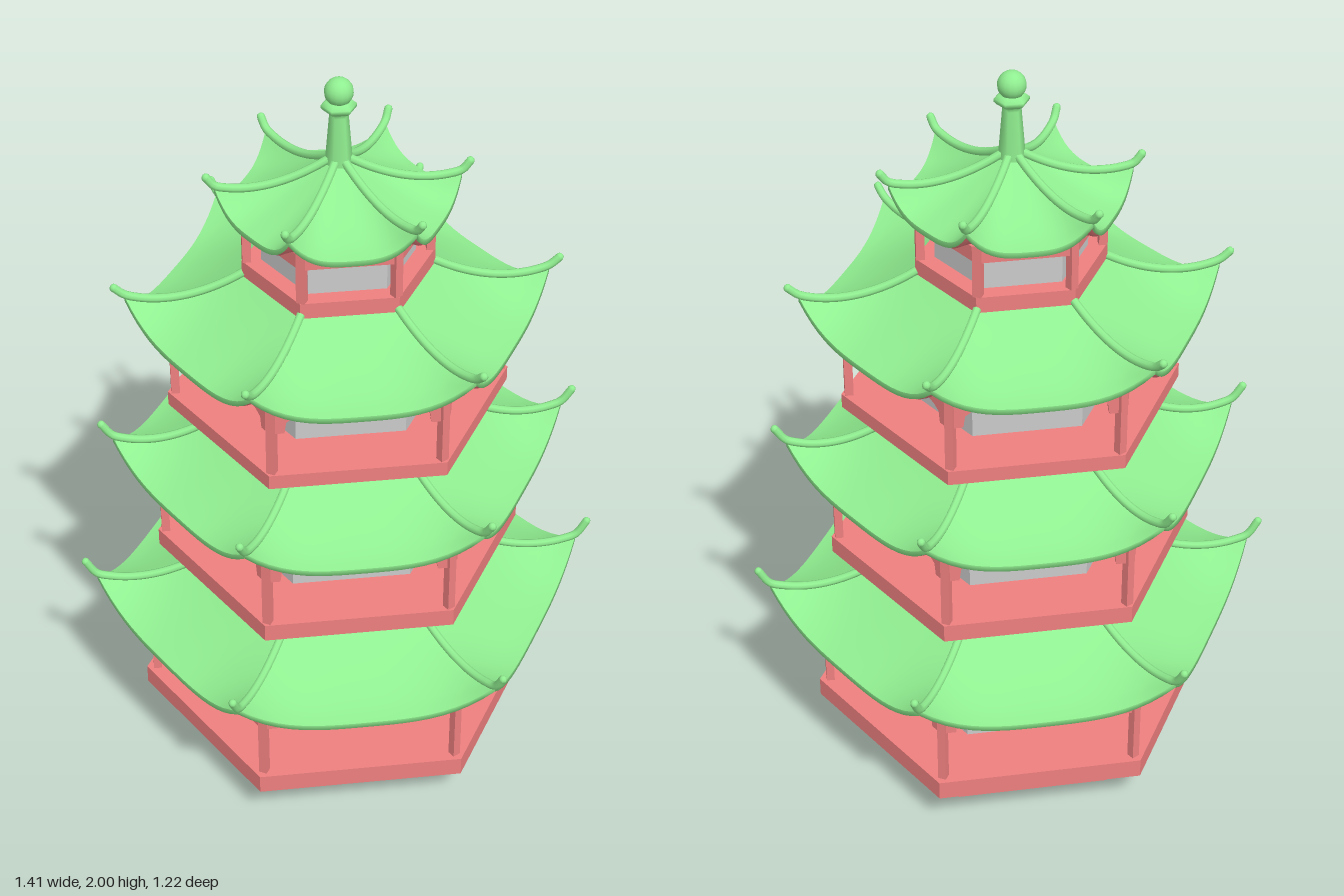
import * as THREE from 'three';
import { mergeGeometries } from 'three/addons/utils/BufferGeometryUtils.js';

const green = new THREE.MeshStandardMaterial({ color: 0x90ee90, side: THREE.DoubleSide });
const red = new THREE.MeshStandardMaterial({ color: 0xf08080, side: THREE.DoubleSide });
const redFlat = new THREE.MeshStandardMaterial({ color: 0xf08080, side: THREE.DoubleSide, flatShading: true });
const grey = new THREE.MeshStandardMaterial({ color: 0xcccccc, side: THREE.DoubleSide, flatShading: true });

const SIDE = Math.PI / 3;

function add(parent, name, geometry, material) {
  const mesh = new THREE.Mesh(geometry, material);
  mesh.name = name;
  parent.add(mesh);
  return mesh;
}

// Open hexagonal wall with corners on the x axis
function hexWall(r, y0, y1) {
  return new THREE.CylinderGeometry(r, r, y1 - y0, 6, 1, true)
    .rotateY(Math.PI / 6).translate(0, (y0 + y1) / 2, 0);
}

// Hexagonal plate with a hexagonal hole
function hexPlate(r, hole, y0, y1) {
  const ring = (q) => Array.from({ length: 6 }, (_, i) =>
    new THREE.Vector2(q * Math.cos(i * SIDE), q * Math.sin(i * SIDE)));
  const shape = new THREE.Shape(ring(r));
  shape.holes.push(new THREE.Path(ring(hole).reverse()));
  return new THREE.ExtrudeGeometry(shape, { depth: y1 - y0, bevelEnabled: false })
    .rotateX(-Math.PI / 2).translate(0, y0, 0);
}

// Six-sided sheet through rows { r, y, lift }; lift raises the corners
function hexSheet(rows) {
  const N = 20, parts = [];
  for (let k = 0; k < 6; k++) {
    const pos = [], idx = [];
    const a = k * SIDE, b = a + SIDE;
    rows.forEach(({ r, y, lift }, j) => {
      for (let i = 0; i <= N; i++) {
        const f = i / N, t = Math.abs(2 * f - 1);
        pos.push(r * ((1 - f) * Math.cos(a) + f * Math.cos(b)),
          y + lift * t ** 3.2,
          r * ((1 - f) * Math.sin(a) + f * Math.sin(b)));
        if (j && i) {
          const q = j * (N + 1) + i, p = q - N - 1;
          idx.push(p - 1, p, q - 1, p, q, q - 1);
        }
      }
    });
    const g = new THREE.BufferGeometry();
    g.setAttribute('position', new THREE.Float32BufferAttribute(pos, 3));
    g.setIndex(idx);
    g.computeVertexNormals();
    parts.push(g);
  }
  return mergeGeometries(parts);
}

// Curved roof: tiles, eave edge, underside and six hip ridges
function makeRoof({ rIn, rOut, yTop, eave, lift, wall, tip }) {
  const roof = new THREE.Group();
  roof.name = 'roof';
  const M = 10, edge = eave + 0.018;
  const height = (s) => edge + (yTop - edge) * (1 - s) ** 1.4;
  const rows = Array.from({ length: M + 1 }, (_, j) => {
    const s = j / M;
    return { r: rIn + (rOut - rIn) * s, y: height(s), lift: lift * s * s };
  });
  add(roof, 'roofTiles', hexSheet(rows), green);
  add(roof, 'eaveEdge', hexSheet([
    { r: rOut, y: edge, lift }, { r: rOut, y: eave + 0.003, lift },
    { r: rOut - 0.012, y: eave + 0.003, lift }]), green);

  const under = [{ r: rOut - 0.01, y: eave + 0.004, lift }];
  for (let j = 8; j >= 0; j--) {
    const s = j / 8;
    under.push({
      r: wall + (rOut - 0.018 - wall) * s,
      y: eave - 0.006 + 0.02 * (1 - s), lift: lift * 0.96 * s * s,
    });
  }
  add(roof, 'roofUnderside', hexSheet(under), red);

  const path = [];
  for (let j = 0; j <= 8; j++) {
    const s = j / 8;
    path.push(new THREE.Vector3(rIn + (rOut - rIn) * s, height(s) + lift * s * s + 0.006, 0));
  }
  path.push(new THREE.Vector3(tip[0], tip[1], 0));
  const ridge = new THREE.TubeGeometry(new THREE.CatmullRomCurve3(path), 28, 0.011, 8);
  const knob = new THREE.SphereGeometry(0.011, 8, 6);
  for (let k = 0; k < 6; k++) {
    const hip = new THREE.Group();
    hip.name = 'hipRidge';
    add(hip, 'ridgeRoll', ridge, green);
    add(hip, 'ridgeTip', knob, green).position.set(tip[0], tip[1], 0);
    hip.rotation.y = k * SIDE;
    roof.add(hip);
  }
  return roof;
}

// Stepped bracket that reaches along +x from a column
function bracketGeometry(size) {
  const pts = [[0, 0], [0.125, 0], [0.125, -0.018], [0.06, -0.04], [0.04, -0.055], [0.035, -0.09], [0, -0.09]];
  const shape = new THREE.Shape(pts.map(([x, y]) => new THREE.Vector2(x * size, y * size)));
  return new THREE.ExtrudeGeometry(shape, { depth: 0.014, bevelEnabled: false }).translate(0, 0, -0.007);
}

function makeColumns(r, y0, y1, bracketSize) {
  const columns = new THREE.Group();
  columns.name = 'columns';
  const post = new THREE.BoxGeometry(0.022, y1 - y0, 0.022);
  for (let k = 0; k < 6; k++) {
    const a = k * SIDE, x = r * Math.cos(a), z = r * Math.sin(a);
    const column = add(columns, 'column', post, redFlat);
    column.position.set(x, (y0 + y1) / 2, z);
    column.rotation.y = -a;
    if (!bracketSize) continue;
    for (const side of [-1, 1]) {
      const bracket = add(columns, 'bracket', bracketGeometry(bracketSize), redFlat);
      bracket.position.set(x, y1 - 0.015, z);
      bracket.rotation.y = -(a + side * 2 * SIDE);
    }
  }
  return columns;
}

export function createModel() {
  const model = new THREE.Group();
  model.name = 'pagoda';

  // Each storey: neck, floor slab, walls, columns and roof
  const storeys = [
    { neck: 0.41, y: 0, slab: 0.545, s0: 0.115, s1: 0.17, wall: 0.34, col: 0.515, bracket: 1,
      roof: { rIn: 0.37, rOut: 0.664, yTop: 0.555, eave: 0.42, lift: 0.085, tip: [0.692, 0.572] } },
    { neck: 0.372, y: 0.54, slab: 0.49, s0: 0.615, s1: 0.665, wall: 0.31, col: 0.47, bracket: 0.95,
      roof: { rIn: 0.335, rOut: 0.595, yTop: 1.015, eave: 0.89, lift: 0.08, tip: [0.622, 1.03] } },
    { neck: 0.338, y: 1.0, slab: 0.445, s0: 1.08, s1: 1.12, wall: 0.28, col: 0.425, bracket: 0.9,
      roof: { rIn: 0.24, rOut: 0.54, yTop: 1.465, eave: 1.325, lift: 0.08, tip: [0.565, 1.45] } },
    { neck: 0.24, y: 1.44, slab: 0.245, s0: 1.46, s1: 1.505, wall: 0.195, col: 0.232, bracket: 0,
      roof: { rIn: 0.025, rOut: 0.306, yTop: 1.775, eave: 1.635, lift: 0.068, tip: [0.325, 1.75] } },
  ];
  storeys.forEach((s, i) => {
    const storey = new THREE.Group();
    storey.name = 'storey' + (i + 1);
    add(storey, i ? 'neck' : 'base', hexWall(s.neck, s.y, s.s0), redFlat);
    add(storey, 'floorSlab', hexPlate(s.slab, s.wall, s.s0, s.s1), redFlat);
    add(storey, 'walls', hexWall(s.wall, s.s0, s.roof.eave + 0.02), grey);
    storey.add(makeColumns(s.col, s.s1, s.roof.eave + 0.012, s.bracket));
    storey.add(makeRoof({ ...s.roof, wall: s.wall - 0.005 }));
    model.add(storey);
  });

  // Lintel under the top roof
  add(model, 'topLintel', hexPlate(0.242, 0.222, 1.6, 1.64), redFlat);

  // Finial
  const profile = [[0.036, 1.74], [0.034, 1.78], [0.024, 1.9], [0.022, 1.912], [0.036, 1.914],
    [0.044, 1.922], [0.044, 1.93], [0.034, 1.938], [0.02, 1.942]];
  const spire = new THREE.LatheGeometry(profile.map(([x, y]) => new THREE.Vector2(x, y)), 6);
  add(model, 'finialSpire', spire.rotateY(Math.PI / 6), green);
  add(model, 'finialBall', new THREE.SphereGeometry(0.036, 16, 12), green).position.y = 1.964;
  return model;
}
